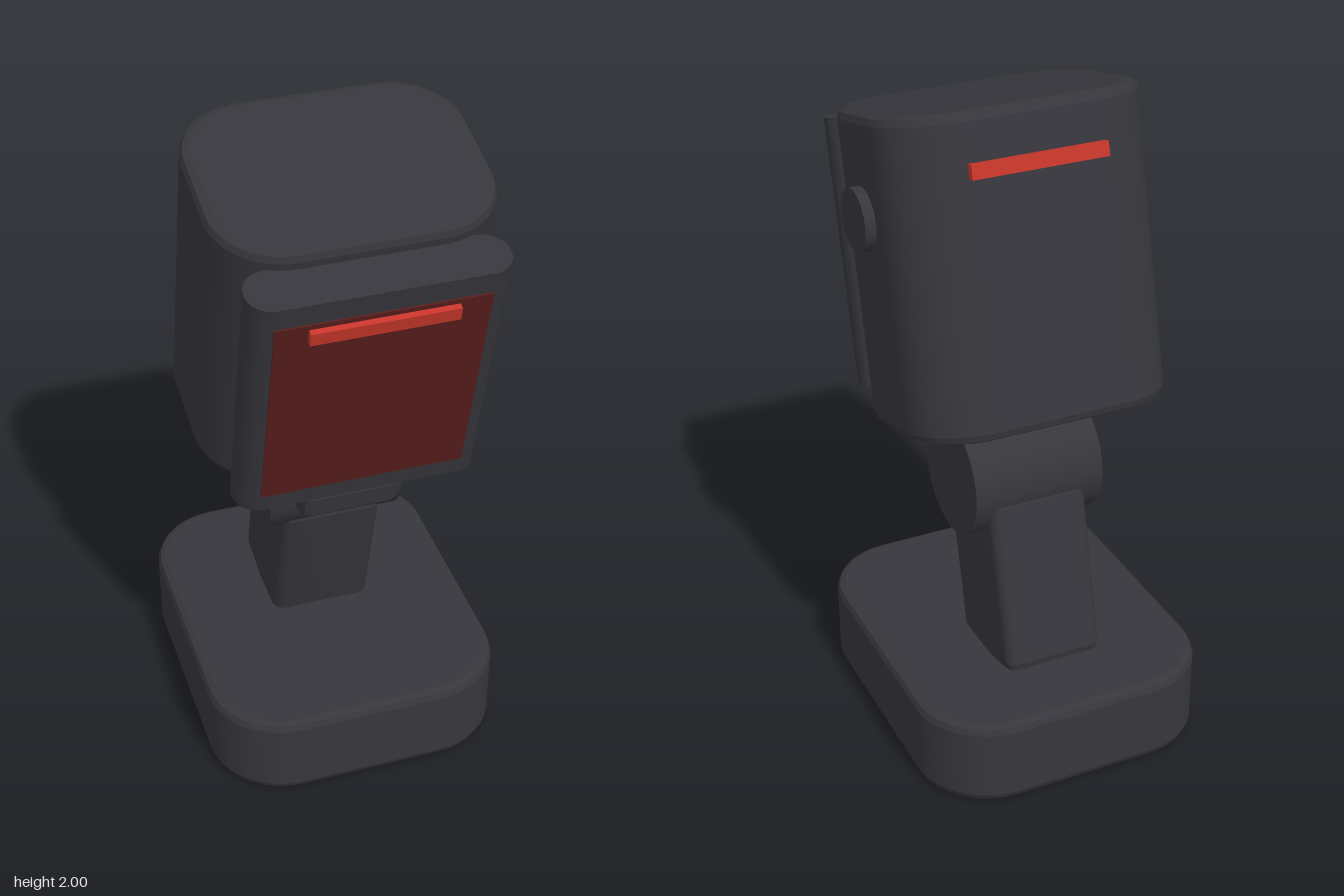
import * as THREE from 'three';
import { toCreasedNormals } from 'three/addons/utils/BufferGeometryUtils.js';

const TILT = THREE.MathUtils.degToRad(14);

// Rounded rectangle outline centred on the origin
function roundedRect(w, d, r) {
  const s = new THREE.Shape(), x = w / 2, y = d / 2;
  s.moveTo(-x + r, -y);
  s.lineTo(x - r, -y);
  s.absarc(x - r, -y + r, r, -Math.PI / 2, 0);
  s.lineTo(x, y - r);
  s.absarc(x - r, y - r, r, 0, Math.PI / 2);
  s.lineTo(-x + r, y);
  s.absarc(-x + r, y - r, r, Math.PI / 2, Math.PI);
  s.lineTo(-x, -y + r);
  s.absarc(-x + r, -y + r, r, Math.PI, Math.PI * 1.5);
  return s;
}

// Extrude a shape to a total thickness, with the bevel kept inside the outline
function extrude(shape, thickness, bevel, segments) {
  const g = new THREE.ExtrudeGeometry(shape, {
    depth: thickness - 2 * bevel, curveSegments: segments, bevelEnabled: bevel > 0,
    bevelThickness: bevel, bevelSize: bevel, bevelOffset: -bevel, bevelSegments: 2,
  });
  g.translate(0, 0, bevel);
  return g;
}

// Upright slab with rounded vertical edges, standing on y = 0
function slab(w, d, h, r, bevel, segments) {
  const g = extrude(roundedRect(w, d, r), h, bevel, segments);
  g.rotateX(-Math.PI / 2);
  return toCreasedNormals(g, 0.35);
}

export function createModel() {
  const body = new THREE.MeshStandardMaterial({ color: 0x36363c });
  const screenRed = new THREE.MeshStandardMaterial({ color: 0x5a1e1e });
  const lampRed = new THREE.MeshStandardMaterial({ color: 0xc8362a });
  body.name = 'charcoal';
  screenRed.name = 'darkRed';
  lampRed.name = 'brightRed';

  const model = new THREE.Group();
  model.name = 'tiltingDevice';
  const tilted = new THREE.Group();
  tilted.name = 'tiltedParts';
  tilted.rotation.x = TILT;
  model.add(tilted);

  function add(parent, name, geometry, material, x, y, z) {
    const mesh = new THREE.Mesh(geometry, material);
    mesh.name = name;
    mesh.position.set(x, y, z);
    parent.add(mesh);
    return mesh;
  }

  // Foot block
  add(model, 'base', slab(0.905, 1.066, 0.27, 0.23, 0.025, 5), body, 0, 0, -0.021);

  // Leaning arm between foot and hinge
  add(tilted, 'arm', slab(0.31, 0.345, 0.555, 0.035, 0.03, 3), body, 0, 0.19, -0.235);

  // Hinge barrel
  const barrel = new THREE.CylinderGeometry(0.187, 0.187, 0.41, 48);
  barrel.rotateZ(Math.PI / 2);
  add(model, 'hinge', barrel, body, 0, 0.833, -0.037);

  // Bracket joining hinge and head, side profile in (z, y)
  const profile = new THREE.Shape([
    [0.29, 0.93], [0.278, 0.865], [0.245, 0.842], [0.14, 0.822], [-0.03, 0.8],
    [-0.07, 1.05], [-0.06, 1.1], [0.2, 1.06], [0.255, 1.01],
  ].map(([z, y]) => new THREE.Vector2(-z, y)));
  const bracket = extrude(profile, 0.29, 0.022, 1);
  bracket.rotateY(Math.PI / 2);
  add(model, 'bracket', toCreasedNormals(bracket, 0.35), body, -0.145, 0, 0);

  // Head housing and front panel
  add(tilted, 'head', slab(0.8, 0.61, 0.915, 0.2, 0.027, 10), body, 0, 0.997, -0.327);
  add(tilted, 'frontPanel', slab(0.72, 0.144, 0.814, 0.07, 0, 8), body, 0, 1.049, 0.035);

  // Screen and light bars
  add(tilted, 'screen', new THREE.BoxGeometry(0.594, 0.68, 0.008), screenRed, 0, 1.4535, 0.108);
  add(tilted, 'frontLight', new THREE.BoxGeometry(0.41, 0.042, 0.03), lampRed, 0, 1.757, 0.115);
  add(tilted, 'backLight', new THREE.BoxGeometry(0.41, 0.042, 0.04), lampRed, 0, 1.753, -0.637);

  // Side knob
  const knob = new THREE.CylinderGeometry(0.093, 0.093, 0.06, 32);
  knob.rotateZ(-Math.PI / 2);
  add(model, 'sideKnob', knob, body, 0.402, 1.645, 0.088);

  return model;
}
